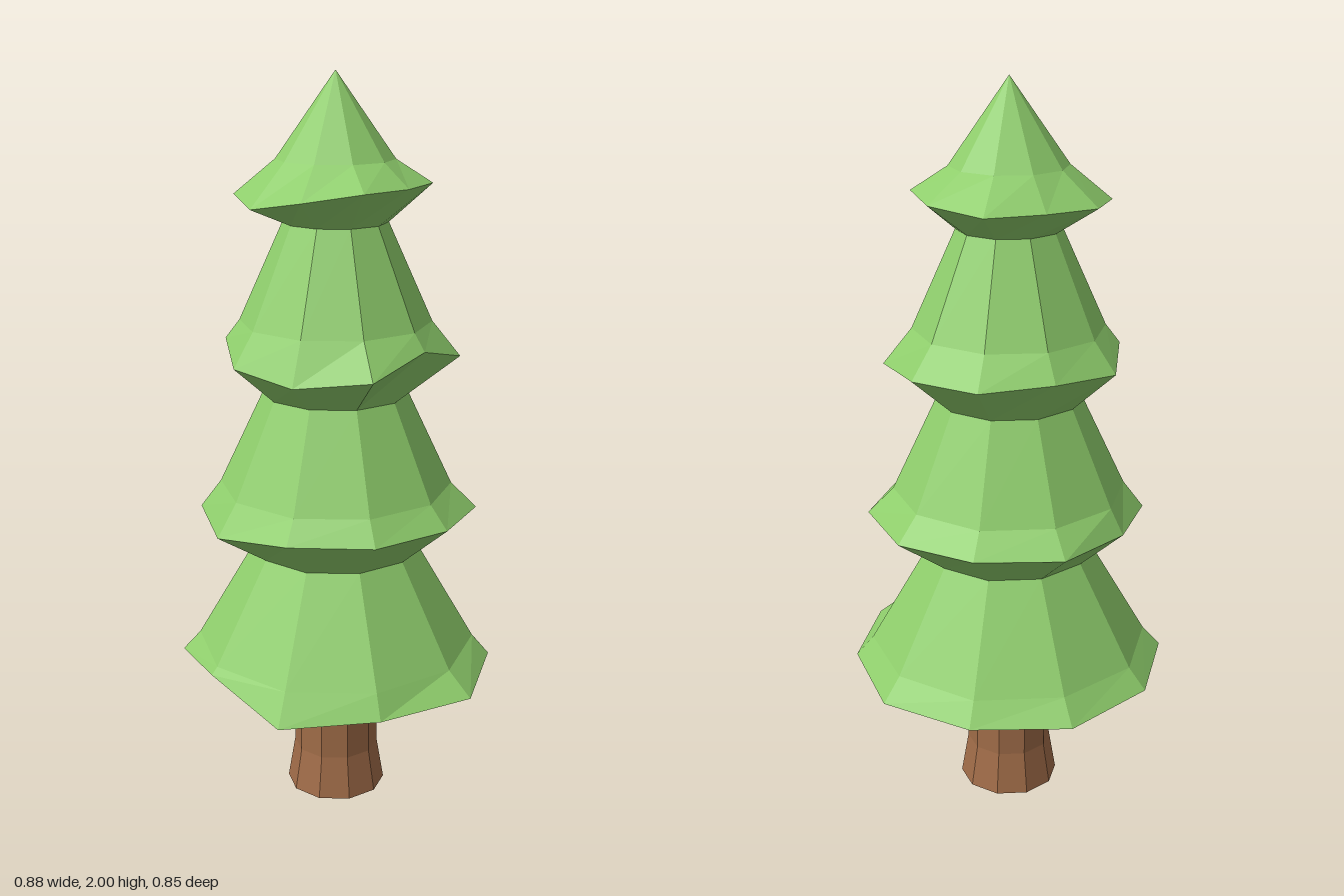
import * as THREE from 'three';

const SIDES = 10;
const PHASE = THREE.MathUtils.degToRad(8);
const CENTRE = { x: -0.012, z: -0.005 };

// A ring has a radius and height, either constant or one value per corner.
const ring = (r, y) => ({ r, y });
const at = (v, i) => (Array.isArray(v) ? v[i % SIDES] : v);

function corner({ r, y }, i) {
  const a = PHASE + ((i % SIDES) / SIDES) * Math.PI * 2;
  return [CENTRE.x + Math.cos(a) * at(r, i), at(y, i), CENTRE.z + Math.sin(a) * at(r, i)];
}

// Joins rings from bottom to top; a ring of radius 0 closes to a point.
function skin(rings) {
  const pos = [];
  for (let k = 0; k < rings.length - 1; k++) {
    const low = rings[k], high = rings[k + 1];
    for (let i = 0; i < SIDES; i++) {
      const a = corner(low, i), b = corner(low, i + 1);
      const c = corner(high, i), d = corner(high, i + 1);
      if (low.r !== 0) pos.push(...a, ...c, ...b);
      if (high.r !== 0) pos.push(...b, ...c, ...d);
    }
  }
  const geo = new THREE.BufferGeometry();
  geo.setAttribute('position', new THREE.Float32BufferAttribute(pos, 3));
  geo.computeVertexNormals();
  return geo;
}

// Each tier: neck below, uneven skirt edge, shoulder above it.
const tiers = [
  {
    name: 'bottomTier', neck: ring(0.118, 0.29), shoulder: ring(0.385, 0.455),
    skirt: ring([0.455, 0.42, 0.436, 0.402, 0.434, 0.435, 0.438, 0.429, 0.438, 0.432],
      [0.393, 0.39, 0.371, 0.435, 0.4, 0.4, 0.39, 0.393, 0.39, 0.4]),
  },
  {
    name: 'lowerMiddleTier', neck: ring(0.227, 0.727), shoulder: ring(0.315, 0.91),
    skirt: ring([0.368, 0.364, 0.365, 0.373, 0.371, 0.353, 0.378, 0.376, 0.376, 0.385],
      [0.849, 0.847, 0.849, 0.822, 0.835, 0.843, 0.845, 0.849, 0.84, 0.84]),
  },
  {
    name: 'upperMiddleTier', neck: ring(0.195, 1.165), shoulder: ring(0.255, 1.36),
    skirt: ring([0.287, 0.333, 0.315, 0.313, 0.293, 0.318, 0.304, 0.321, 0.32, 0.331],
      [1.315, 1.27, 1.25, 1.27, 1.31, 1.28, 1.29, 1.278, 1.275, 1.265]),
  },
  {
    name: 'topTier', neck: ring(0.138, 1.62), shoulder: ring(0.155, 1.78),
    skirt: ring([0.231, 0.251, 0.248, 0.257, 0.264, 0.258, 0.237, 0.26, 0.26, 0.25],
      [1.72, 1.72, 1.697, 1.67, 1.69, 1.697, 1.7, 1.697, 1.71, 1.72]),
  },
];

export function createModel() {
  const tree = new THREE.Group();
  tree.name = 'pineTree';
  const leaf = new THREE.MeshStandardMaterial({ color: 0x8fce6c, flatShading: true });
  const bark = new THREE.MeshStandardMaterial({ color: 0xa06c48, flatShading: true });

  const add = (name, rings, material) => {
    const mesh = new THREE.Mesh(skin(rings), material);
    mesh.name = name;
    tree.add(mesh);
  };

  // Trunk with a flared foot
  add('trunk', [ring(0, 0), ring(0.138, 0), ring(0.118, 0.12), ring(0.118, 0.29)], bark);

  // Foliage: every tier runs up to the neck of the next, the last to the tip
  tiers.forEach((t, i) => {
    const top = i < tiers.length - 1 ? tiers[i + 1].neck : ring(0, 2);
    add(t.name, [t.neck, t.skirt, t.shoulder, top], leaf);
  });

  return tree;
}
